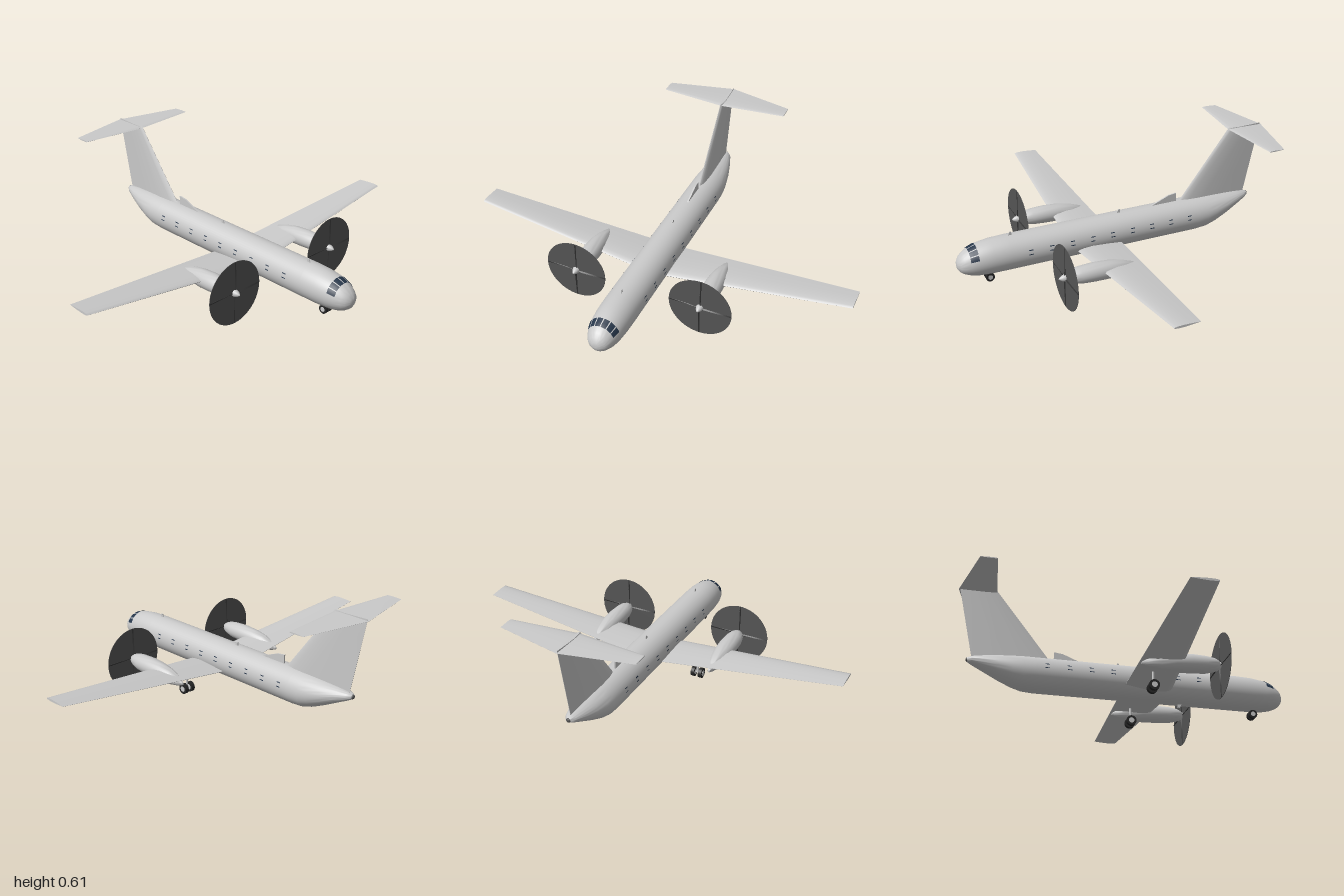
import * as THREE from 'three';
import { toCreasedNormals, mergeVertices } from 'three/addons/utils/BufferGeometryUtils.js';

const material = (name, color, extra = {}) =>
  Object.assign(new THREE.MeshStandardMaterial({ color, ...extra }), { name });

// Skins closed loops of points, fans the two ends and turns the faces outward
function loft(loops, crease = 0.7) {
  const n = loops[0].length, pos = [], idx = [];
  const put = (p) => pos.push(p.x, p.y, p.z);
  loops.forEach((l) => l.forEach(put));
  for (let i = 0; i < loops.length - 1; i++) {
    for (let j = 0; j < n; j++) {
      const a = i * n + j, b = i * n + (j + 1) % n;
      idx.push(a, b, b + n, a, b + n, a + n);
    }
  }
  [0, loops.length - 1].forEach((l, end) => {
    const c = pos.length / 3;
    put(loops[l].reduce((s, p) => s.add(p), new THREE.Vector3()).divideScalar(n));
    for (let j = 0; j < n; j++) {
      const a = l * n + j, b = l * n + (j + 1) % n;
      idx.push(...(end ? [a, b, c] : [b, a, c]));
    }
  });
  // signed volume tells whether the loops ran the wrong way round
  const v = (i) => new THREE.Vector3().fromArray(pos, i * 3);
  let volume = 0;
  for (let i = 0; i < idx.length; i += 3) volume += v(idx[i]).dot(v(idx[i + 1]).cross(v(idx[i + 2])));
  if (volume < 0) idx.reverse();
  const g = new THREE.BufferGeometry();
  g.setAttribute('position', new THREE.Float32BufferAttribute(pos, 3));
  g.setIndex(idx);
  return toCreasedNormals(mergeVertices(g), crease);
}

// Fuselage stations: z, bottom, top, half width
const BODY = [
  [0.833, 0.152, 0.160, 0.004], [0.829, 0.135, 0.177, 0.021], [0.817, 0.118, 0.197, 0.042],
  [0.80, 0.106, 0.213, 0.055], [0.77, 0.094, 0.233, 0.069], [0.73, 0.086, 0.247, 0.079],
  [0.66, 0.083, 0.257, 0.086], [0.58, 0.083, 0.26, 0.088], [-0.44, 0.083, 0.26, 0.088],
  [-0.50, 0.088, 0.26, 0.087], [-0.55, 0.104, 0.258, 0.082], [-0.62, 0.136, 0.254, 0.069],
  [-0.69, 0.172, 0.248, 0.049], [-0.745, 0.199, 0.241, 0.029], [-0.768, 0.212, 0.234, 0.013],
];
function station(z) {
  let i = 0;
  while (i < BODY.length - 2 && z < BODY[i + 1][0]) i++;
  const t = (z - BODY[i][0]) / (BODY[i + 1][0] - BODY[i][0]);
  return BODY[i].map((s, k) => THREE.MathUtils.lerp(s, BODY[i + 1][k], t));
}
function skin([z, low, top, half], angle, lift = 0) {
  return new THREE.Vector3(Math.cos(angle) * (half + lift),
    (low + top) / 2 + Math.sin(angle) * ((top - low) / 2 + lift), z);
}
const ring = (s, n) => Array.from({ length: n }, (_, i) => skin(s, i / n * Math.PI * 2));

// A thin patch that follows the fuselage skin
function patch(z0, z1, a0, a1, lift) {
  const g = new THREE.PlaneGeometry(1, 1, 6, 4), p = g.attributes.position;
  for (let i = 0; i < p.count; i++) {
    const q = skin(station(z0 + (z1 - z0) * (p.getY(i) + 0.5)), a0 + (a1 - a0) * (p.getX(i) + 0.5), lift);
    p.setXYZ(i, q.x, q.y, q.z);
  }
  g.computeVertexNormals();
  return g;
}

// Aerofoil outline: chord fraction from the leading edge, relative height
const FOIL = [[0, 0], [0.03, 0.45], [0.12, 0.8], [0.32, 1], [0.65, 0.65], [1, 0.06],
  [1, -0.06], [0.65, -0.65], [0.32, -1], [0.12, -0.8], [0.03, -0.45]];
const foil = (lead, trail, half, place) =>
  FOIL.map(([t, h]) => place(h * half, lead + (trail - lead) * t));
const wingLoop = (x, y, lead, trail, half) =>
  foil(lead, trail, half, (h, z) => new THREE.Vector3(x, y + h, z));
const finLoop = (y, lead, trail, half) =>
  foil(lead, trail, half, (h, z) => new THREE.Vector3(h, y, z));

export function createModel() {
  const model = new THREE.Group();
  model.name = 'airliner';
  const paint = material('light grey paint', 0xcacaca);
  const dark = material('dark propeller grey', 0x555555);
  const blade = material('blade black', 0x333333);
  const rubber = material('tyre black', 0x262626);
  const glass = material('navy glass', 0x26364a, { side: THREE.DoubleSide });
  const add = (parent, name, geometry, mat, x = 0, y = 0, z = 0) => {
    const m = new THREE.Mesh(geometry, mat);
    m.name = name;
    m.position.set(x, y, z);
    parent.add(m);
    return m;
  };

  add(model, 'fuselage', loft(BODY.map((s) => ring(s, 48)), 1.0), paint);
  const tail = add(model, 'tailCone', new THREE.SphereGeometry(0.012, 16, 10), dark, 0, 0.223, -0.765);
  tail.scale.z = 0.8;

  // Cockpit glazing
  const cuts = [0.32, 0.72, 1.14, Math.PI / 2];
  for (let i = 0; i < 3; i++) {
    for (const side of [0, 1]) {
      const [a, b] = [cuts[i] + 0.035, cuts[i + 1] - 0.035].map((t) => side ? Math.PI - t : t);
      add(model, 'windscreenPane', patch(0.735, 0.775, a, b, 0.002), glass);
    }
  }
  // Cabin windows, marked by their upper and lower edges
  for (let i = 0; i < 9; i++) {
    const z = 0.482 - i * 0.1085;
    for (const angle of [0.08, 0.32]) {
      for (const side of [0, 1]) {
        const [a, b] = [angle - 0.025, angle + 0.025].map((t) => side ? Math.PI - t : t);
        add(model, 'cabinWindowEdge', patch(z - 0.011, z + 0.011, a, b, 0.0015), glass);
      }
    }
  }

  // Wings with dihedral
  for (const s of [1, -1]) {
    add(model, 'wing', loft([wingLoop(0, 0.125, 0.24, -0.005, 0.018),
      wingLoop(s, 0.226, 0.187, 0.06, 0.006)]), paint);
  }

  // T-tail
  add(model, 'fin', loft([finLoop(0.23, -0.345, -0.746, 0.018),
    finLoop(0.614, -0.642, -0.828, 0.009)]), paint);
  add(model, 'tailplane', loft([wingLoop(-0.338, 0.605, -0.675, -0.757, 0.003),
    wingLoop(0, 0.605, -0.641, -0.833, 0.006), wingLoop(0.338, 0.605, -0.675, -0.757, 0.003)]), paint);

  // Thin blades on the spine and belly: outline in (z, y)
  const plate = (name, points, width) => {
    const shape = new THREE.Shape(points.map(([z, y]) => new THREE.Vector2(-z, y)));
    const g = new THREE.ExtrudeGeometry(shape, { depth: width, bevelEnabled: false });
    g.translate(0, 0, -width / 2).rotateY(Math.PI / 2);
    add(model, name, g, paint);
  };
  plate('dorsalFairing', [[-0.195, 0.255], [-0.3, 0.298], [-0.345, 0.304], [-0.345, 0.255]], 0.008);
  for (const z of [0.57, -0.008]) {
    plate('topAerial', [[z, 0.255], [z - 0.01, 0.277], [z - 0.018, 0.277], [z - 0.02, 0.255]], 0.005);
  }
  plate('bellyAerial', [[0.305, 0.088], [0.295, 0.066], [0.285, 0.066], [0.283, 0.088]], 0.005);

  // Engines: z, centre height, half width, half height
  const NACELLE = [[0.4, 0.16, 0.017, 0.017], [0.392, 0.16, 0.027, 0.025], [0.37, 0.16, 0.037, 0.034],
    [0.33, 0.158, 0.045, 0.042], [0.26, 0.157, 0.048, 0.046], [0.18, 0.153, 0.045, 0.045],
    [0.11, 0.147, 0.035, 0.037], [0.05, 0.141, 0.018, 0.022], [0.02, 0.137, 0.005, 0.006]];
  const nacelleLoops = NACELLE.map(([z, y, w, h]) => ring([z, y - h, y + h, w], 28));
  const spinnerProfile = [[0, 0.034], [0.006, 0.029], [0.013, 0.018], [0.018, 0.004], [0.018, -0.008]]
    .reverse().map(([r, y]) => new THREE.Vector2(r, y));
  for (const s of [1, -1]) {
    const engine = new THREE.Group();
    engine.name = 'engine';
    engine.position.x = s * 0.33;
    model.add(engine);
    add(engine, 'nacelle', loft(nacelleLoops, 1.0), paint);

    const propeller = new THREE.Group();
    propeller.name = 'propeller';
    propeller.position.set(0, 0.16, 0.404);
    engine.add(propeller);
    add(propeller, 'propellerDisc', new THREE.CylinderGeometry(0.16, 0.16, 0.002, 64), dark).rotation.x = Math.PI / 2;
    add(propeller, 'spinner', new THREE.LatheGeometry(spinnerProfile, 24), paint).rotation.x = Math.PI / 2;
    for (let i = 0; i < 4; i++) {
      // each blade twists and narrows toward the tip
      const g = new THREE.BoxGeometry(0.017, 0.146, 0.003, 1, 8, 1).translate(0, 0.085, 0);
      const p = g.attributes.position;
      for (let k = 0; k < p.count; k++) {
        const t = p.getY(k) / 0.158, w = p.getX(k) * (1 - 0.4 * t), a = 1.0 - 0.75 * t, d = p.getZ(k);
        p.setXYZ(k, w * Math.cos(a) - d * Math.sin(a), p.getY(k), w * Math.sin(a) + d * Math.cos(a));
      }
      g.computeVertexNormals();
      add(propeller, 'propellerBlade', g, blade).rotation.z = i * Math.PI / 2;
    }
  }

  // Twin-wheel landing gear
  const gear = (name, x, z, r, y, gap, width, top) => {
    const leg = new THREE.Group();
    leg.name = name;
    leg.position.set(x, y, z);
    model.add(leg);
    add(leg, 'strut', new THREE.CylinderGeometry(0.006, 0.006, top - y, 12), paint, 0, (top - y) / 2, 0);
    add(leg, 'axle', new THREE.CylinderGeometry(0.005, 0.005, gap * 2, 12), paint).rotation.z = Math.PI / 2;
    for (const s of [1, -1]) {
      add(leg, 'tyre', new THREE.CylinderGeometry(r, r, width, 28), rubber, s * gap).rotation.z = Math.PI / 2;
      add(leg, 'hub', new THREE.CylinderGeometry(r * 0.55, r * 0.55, width + 0.003, 20), paint, s * gap).rotation.z = Math.PI / 2;
    }
  };
  gear('noseGear', 0, 0.673, 0.022, 0.06, 0.013, 0.014, 0.1);
  gear('mainGear', 0.236, 0.098, 0.026, 0.064, 0.02, 0.018, 0.145);
  gear('mainGear', -0.236, 0.098, 0.026, 0.064, 0.02, 0.018, 0.145);
  return model;
}
